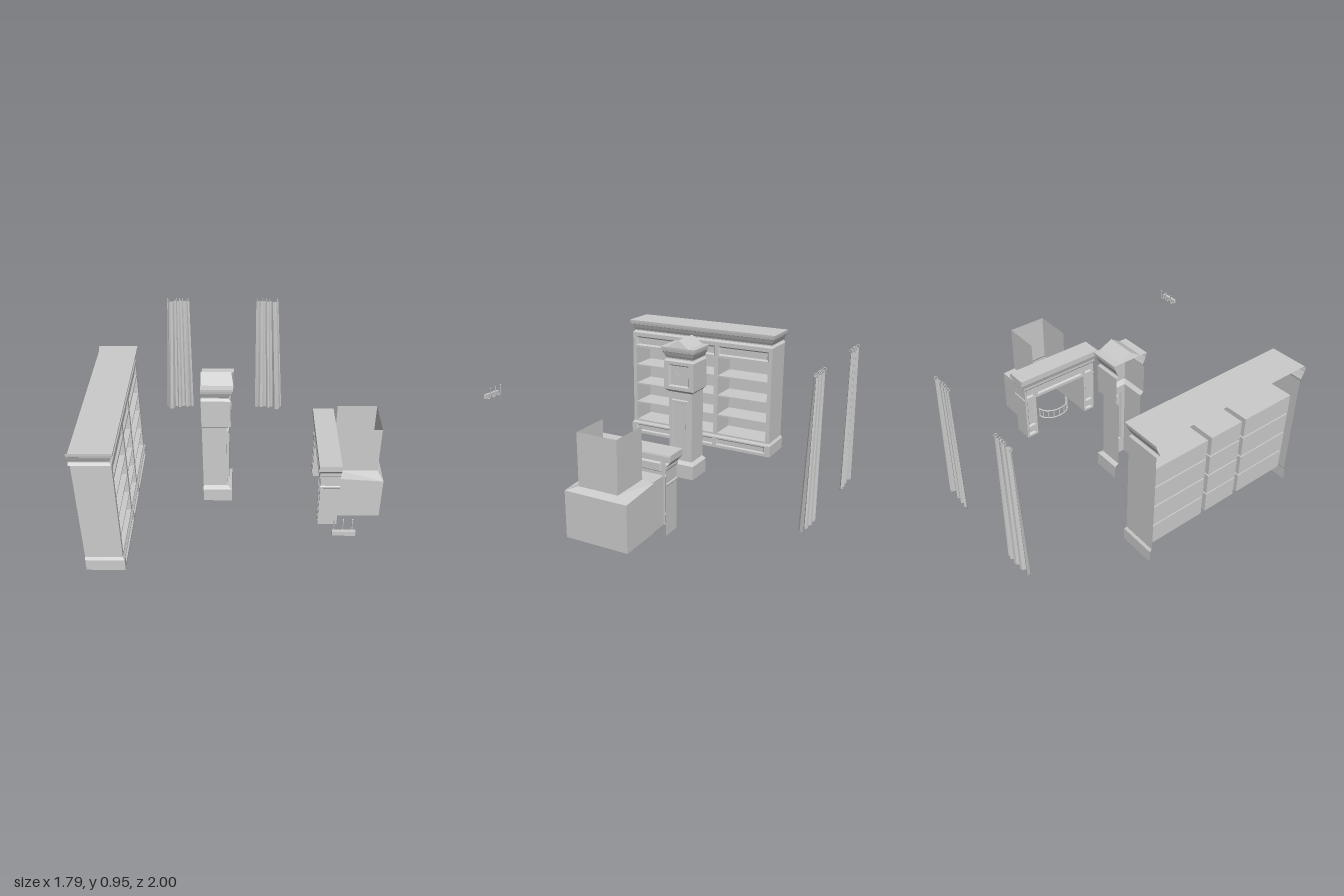
import * as THREE from 'three';
import { mergeGeometries } from 'three/addons/utils/BufferGeometryUtils.js';

const mat = new THREE.MeshStandardMaterial({ color: 0xcccccc, side: THREE.DoubleSide, flatShading: true });
const smooth = new THREE.MeshStandardMaterial({ color: 0xcccccc });

function add(parent, name, geo, material = mat) {
  const mesh = new THREE.Mesh(geo, material);
  mesh.name = name;
  parent.add(mesh);
  return mesh;
}

function group(parent, name) {
  const g = new THREE.Group();
  g.name = name;
  parent.add(g);
  return g;
}

// Faceted sheet through rows of [x, y, z] points
function sheet(rows) {
  const pos = [];
  for (let i = 0; i + 1 < rows.length; i++)
    for (let j = 0; j + 1 < rows[i].length; j++) {
      const a = rows[i][j], b = rows[i][j + 1], c = rows[i + 1][j + 1], d = rows[i + 1][j];
      pos.push(...a, ...b, ...c, ...a, ...c, ...d);
    }
  const g = new THREE.BufferGeometry();
  g.setAttribute('position', new THREE.Float32BufferAttribute(pos, 3));
  g.computeVertexNormals();
  return g;
}

// Three-sided casing, open at xBack. Rows: [y, xFront, halfWidth, yBack]
function shell(rows, xBack, zc, front = true) {
  const lines = rows.map(([y, x, h, yb = y]) =>
    [[xBack, yb, zc - h], [x, y, zc - h], [x, y, zc + h], [xBack, yb, zc + h]]);
  if (front) return sheet(lines);
  return mergeGeometries([sheet(lines.map(l => l.slice(0, 2))), sheet(lines.map(l => l.slice(2)))]);
}

// Horizontal rectangle
const flat = (x0, x1, z0, z1, y) => sheet([[[x0, y, z0], [x0, y, z1]], [[x1, y, z0], [x1, y, z1]]]);

const rectPoints = (a, b, c, d) => [[a, b], [c, b], [c, d], [a, d]];

// Wall facing dir * x with pockets [u0, v0, u1, v1, depth, inset]
function wall(outline, pockets, x, zc, dir = 1) {
  const shape = new THREE.Shape(outline.map(p => new THREE.Vector2(...p)));
  const parts = [];
  for (const [a, b, c, d, depth, inset] of pockets) {
    shape.holes.push(new THREE.Path(rectPoints(a, b, c, d).reverse().map(p => new THREE.Vector2(...p))));
    const outer = rectPoints(a, b, c, d).map(p => [...p, 0]);
    const inner = rectPoints(a + inset, b + inset, c - inset, d - inset).map(p => [...p, -depth]);
    parts.push(sheet([[...outer, outer[0]], [...inner, inner[0]]]));
    parts.push(sheet([[inner[0], inner[1]], [inner[3], inner[2]]]));
  }
  const face = new THREE.ShapeGeometry(shape).toNonIndexed();
  face.deleteAttribute('uv');
  return mergeGeometries([face, ...parts]).rotateY(dir * Math.PI / 2).translate(x, 0, zc);
}

// Cornice steps shared by the bookcase and clock: [y, outward offset]
const cornice = [[.815, 0], [.828, -.012], [.835, -.012], [.85, -.004], [.873, .006],
  [.875, .008], [.892, .011], [.892, .015], [.906, .016]];
const corniceRows = (x, h) => cornice.map(([y, o]) => [y, x + o, h + o]);

function bookcase(root) {
  const g = group(root, 'bookcase'), zc = .165, xb = -.885, xf = -.667, h = .543;
  const bays = [[-.515, -.145], [-.115, .115], [.145, .515]];
  const rows = [[.155, .285], [.295, .428], [.438, .57], [.58, .706]];
  const cells = [], base = [];
  for (const [a, b] of bays) {
    for (const [c, d] of rows) cells.push([a, c, b, d, .19, 0]);
    cells.push([a, .722, b, .787, .012, .01]);
    base.push([a, .07, b, .118, .01, .008]);
  }
  add(g, 'shelvesAndFrieze', wall(rectPoints(-h, .143, h, .815), cells, xf, zc));
  add(g, 'sidePanels', shell([[.143, xf, h], [.815, xf, h]], xb, zc, false));
  add(g, 'plinthFront', wall(rectPoints(-.555, .05, .555, .128), base, -.657, zc));
  add(g, 'plinthSides', shell([[.05, -.657, .555], [.128, -.657, .555]], xb, zc, false));
  add(g, 'plinthMoulding', shell([[.128, -.657, .555], [.143, xf, h]], xb, zc));
  add(g, 'cornice', shell(corniceRows(xf, h), -.897, zc));
  add(g, 'top', flat(xb, xf + .016, zc - h - .016, zc + h + .016, .906));
}

function clock(root) {
  const g = group(root, 'longcaseClock'), zc = -.007, xb = -.23;
  add(g, 'plinth', shell([[.05, -.05, .107], [.141, -.05, .107], [.148, -.06, .098], [.158, -.08, .082]], xb, zc));
  add(g, 'trunkSides', shell([[.158, -.08, .082], [.613, -.08, .082]], xb, zc, false));
  // raised door on the trunk, with a sunk field on it
  add(g, 'trunkDoor', wall(rectPoints(-.082, .158, .082, .613), [[-.058, .196, .058, .566, -.013, .004]], -.08, zc));
  add(g, 'doorFrame', wall(rectPoints(-.054, .2, .054, .562), [[-.042, .215, .042, .547, .009, .008]], -.0665, zc));
  add(g, 'hoodBase', shell([[.613, -.08, .082], [.633, -.053, .104]], xb, zc));
  add(g, 'hoodSides', shell([[.633, -.053, .104], [.815, -.053, .104]], xb, zc, false));
  add(g, 'hoodFront', wall(rectPoints(-.104, .633, .104, .815), [[-.07, .655, .07, .795, .012, .008]], -.053, zc));
  add(g, 'cornice', shell(corniceRows(-.053, .104), xb, zc));
  add(g, 'top', flat(xb, -.037, zc - .12, zc + .12, .906));
  // gabled pediment
  const gable = (x, xTop) => [[x, .906, zc - .073], [xTop, .955, zc], [x, .906, zc + .073]];
  const back = gable(xb, xb), front = gable(-.037, -.05);
  add(g, 'pedimentRoof', sheet([back, front]));
  add(g, 'pedimentFront', sheet([front, [front[0], [-.037, .906, zc], front[2]]]));
  // hands
  for (const [len, ang] of [[.04, .9], [.028, -1.1]])
    add(g, 'clockHand', new THREE.BoxGeometry(.003, len, .005)
      .translate(0, len / 2, 0).rotateX(ang).translate(-.061, .725, zc));
}

function fireplace(root) {
  const g = group(root, 'fireplace'), zc = -.016, xb = .614, xf = .494, h = .281, o = .197;
  const outline = [[-h, 0], [-o, 0], [-o, .305], [o, .305], [o, 0], [h, 0], [h, .41], [-h, .41]];
  const panels = [[-.185, .325, .185, .385, .012, .008]];
  for (const s of [-1, 1])
    for (const [v0, v1] of [[.015, .07], [.085, .315], [.325, .385]])
      panels.push([s * .2375 - .028, v0, s * .2375 + .028, v1, .012, .009]);
  add(g, 'surroundFront', wall(outline, panels, xf, zc, -1));
  add(g, 'surroundSides', shell([[0, xf, h], [.41, xf, h]], xb, zc, false));
  add(g, 'sideMoulding', shell([[.297, xf, h], [.303, .49, h + .005], [.312, .49, h + .005], [.317, xf, h]], xb, zc, false));
  add(g, 'openingJambs', shell([[0, xf, o], [.305, xf, o]], xb, zc, false));
  add(g, 'openingLintel', flat(xf, xb, zc - o, zc + o, .305));
  add(g, 'mantelMoulding', shell([[.39, xf, h], [.4, .488, .287], [.417, .488, .287], [.43, .484, .295],
    [.447, .478, .309], [.485, .478, .309]], xb, zc));
  add(g, 'mantelShelf', flat(.478, xb, zc - .309, zc + .309, .485));
  // firebox with sloping shoulders and an open flue
  add(g, 'chimney', shell([[0, .893, .2], [.283, .893, .2, .302], [.312, .862, .127], [.625, .862, .127]], xb, -.019));

  // bowed fire basket
  const basket = group(g, 'fireBasket');
  const R = .11, squash = .75;
  for (const y of [.045, .105])
    add(basket, 'rail', new THREE.TorusGeometry(R, .005, 6, 20, Math.PI)
      .rotateX(Math.PI / 2).rotateY(Math.PI / 2 * -1).scale(-1, 1, 1)
      .scale(squash, 1, 1).translate(0, y, 0), mat);
  basket.children.forEach(m => {
    // keep the bow turned toward the room
    m.geometry.computeBoundingBox();
    if (m.geometry.boundingBox.max.x > .05) m.geometry.rotateY(Math.PI);
  });
  for (let i = 0; i <= 8; i++) {
    const a = i / 8 * Math.PI;
    add(basket, 'bar', new THREE.CylinderGeometry(.004, .004, .07, 6)
      .translate(-Math.sin(a) * R * squash, .075, Math.cos(a) * R));
  }
  basket.position.set(.6, 0, zc);
}

function curtain(root, name, x0, dir) {
  const g = group(root, name);
  // folds from the straight edge to the flared edge: [across, depth]
  const folds = [[0, .1], [.07, .3], [.13, 0], [.2, .35], [.28, .3], [.34, 0], [.42, .1], [.48, .5],
    [.55, .45], [.6, .1], [.68, .2], [.75, .85], [.84, 1], [.91, .7], [.96, .15], [1, 0]];
  const rows = [];
  for (let i = 0; i <= 6; i++) {
    const t = i / 6, w = .2 - .047 * t, amp = .045 - .025 * t;
    rows.push(folds.map(([u, f]) => [x0 + dir * u * w, .05 + .88 * t, -.992 + f * amp]));
  }
  add(g, 'drape', sheet(rows));
  for (const d of [.007, .045, .068, .09, .147])
    add(g, 'curtainRing', new THREE.TorusGeometry(.01, .0025, 6, 14)
      .rotateY(Math.PI / 2).translate(x0 + dir * d, .937, -.987), smooth);
}

function coatRack(root) {
  const g = group(root, 'coatRack');
  add(g, 'board', new THREE.BoxGeometry(.118, .026, .018).translate(.537, .617, .991));
  const path = new THREE.CatmullRomCurve3([[.615, .985], [.602, .972], [.605, .962], [.625, .956], [.65, .958], [.672, .955]]
    .map(([y, z]) => new THREE.Vector3(0, y, z)));
  for (const x of [.49, .536, .583]) {
    add(g, 'hook', new THREE.TubeGeometry(path, 20, .003, 6).translate(x, 0, 0), smooth);
    add(g, 'hookTip', new THREE.SphereGeometry(.0045, 8, 6).translate(x, .673, .955), smooth);
  }
}

export function createModel() {
  const root = new THREE.Group();
  root.name = 'roomFurniture';
  bookcase(root);
  clock(root);
  fireplace(root);
  curtain(root, 'rightCurtain', -.36, -1);
  curtain(root, 'leftCurtain', .106, 1);
  coatRack(root);
  return root;
}
